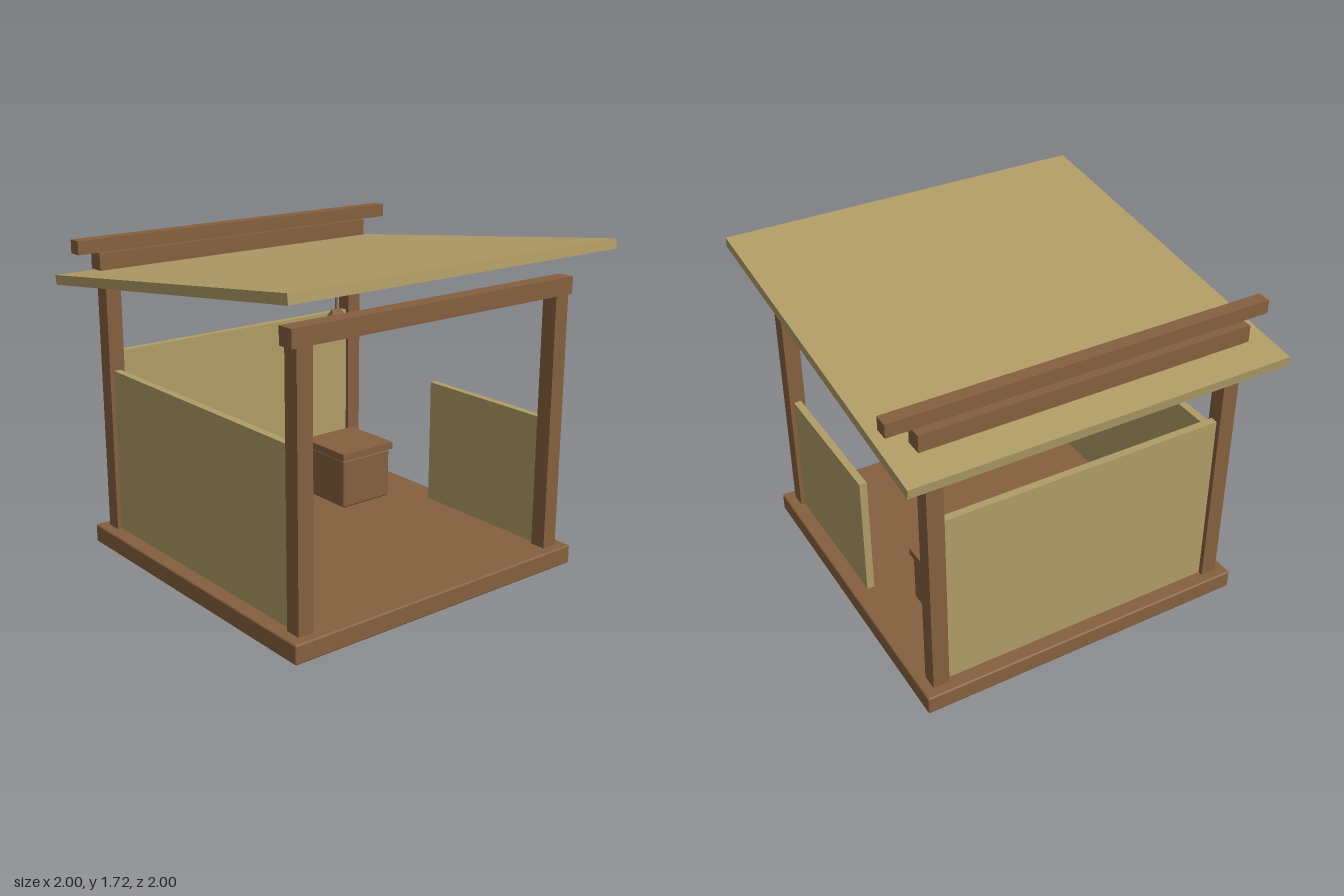
import * as THREE from 'three';
import { RoundedBoxGeometry } from 'three/addons/geometries/RoundedBoxGeometry.js';

export function createModel() {
  const group = new THREE.Group();
  const mat = (name, color) => {
    const m = new THREE.MeshStandardMaterial({ color });
    m.name = name;
    return m;
  };
  const wood = mat('brown wood', 0x85603e);
  const straw = mat('straw panel', 0xb09c66);

  const add = (name, geometry, material, x, y, z) => {
    const mesh = new THREE.Mesh(geometry, material);
    mesh.name = name;
    mesh.position.set(x, y, z);
    group.add(mesh);
    return mesh;
  };
  // box given by its lower and upper limits on each axis; bevel softens the edges
  const block = (name, material, [x0, x1], [y0, y1], [z0, z1], bevel = 0) => {
    const size = [x1 - x0, y1 - y0, z1 - z0];
    const geometry = bevel
      ? new RoundedBoxGeometry(...size, 2, bevel)
      : new THREE.BoxGeometry(...size);
    return add(name, geometry, material, (x0 + x1) / 2, (y0 + y1) / 2, (z0 + z1) / 2);
  };

  // floor platform
  block('floor', wood, [-0.9, 0.9], [0.005, 0.105], [-0.9, 0.9], 0.01);

  // corner posts
  for (const s of [-1, 1]) {
    const x = [s * 0.8 - 0.043, s * 0.8 + 0.043];
    block('frontPost', wood, x, [0.1, 1.445], [0.76, 0.846]);
    block('backPost', wood, x, [0.1, 1.485], [-0.846, -0.76]);
  }

  // cross beams and the ridge pole above the roof
  block('frontBeam', wood, [-0.87, 0.87], [1.442, 1.53], [0.759, 0.847]);
  block('backBeam', wood, [-0.87, 0.87], [1.522, 1.61], [-0.847, -0.759]);
  block('ridgePole', wood, [-1, 1], [1.62, 1.69], [-0.81, -0.737]);

  // walls between the posts
  block('backWall', straw, [-0.76, 0.76], [0.1, 1.083], [-0.82, -0.78]);
  block('rightWall', straw, [-0.82, -0.78], [0.1, 0.987], [-0.76, 0.76]);
  block('leftHalfWall', straw, [0.78, 0.82], [0.1, 0.795], [-0.06, 0.76]);

  // sloping roof, high at the front
  const roof = add('roof', new THREE.BoxGeometry(2, 0.05, 2.009), straw, 0, 1.577, 0);
  roof.rotation.x = -THREE.MathUtils.degToRad(7);

  // crate with lid
  block('crate', wood, [0.295, 0.63], [0.105, 0.39], [-0.566, -0.231], 0.015);
  block('crateLid', wood, [0.283, 0.642], [0.39, 0.43], [-0.578, -0.219]);

  // hanging lantern
  add('lanternRod', new THREE.CylinderGeometry(0.006, 0.006, 0.2, 6), wood, 0, 1.443, 0.065);
  add('lantern', new THREE.IcosahedronGeometry(0.05, 0), wood, 0, 1.308, 0.065);

  // the slope must rise toward +z
  return group;
}
